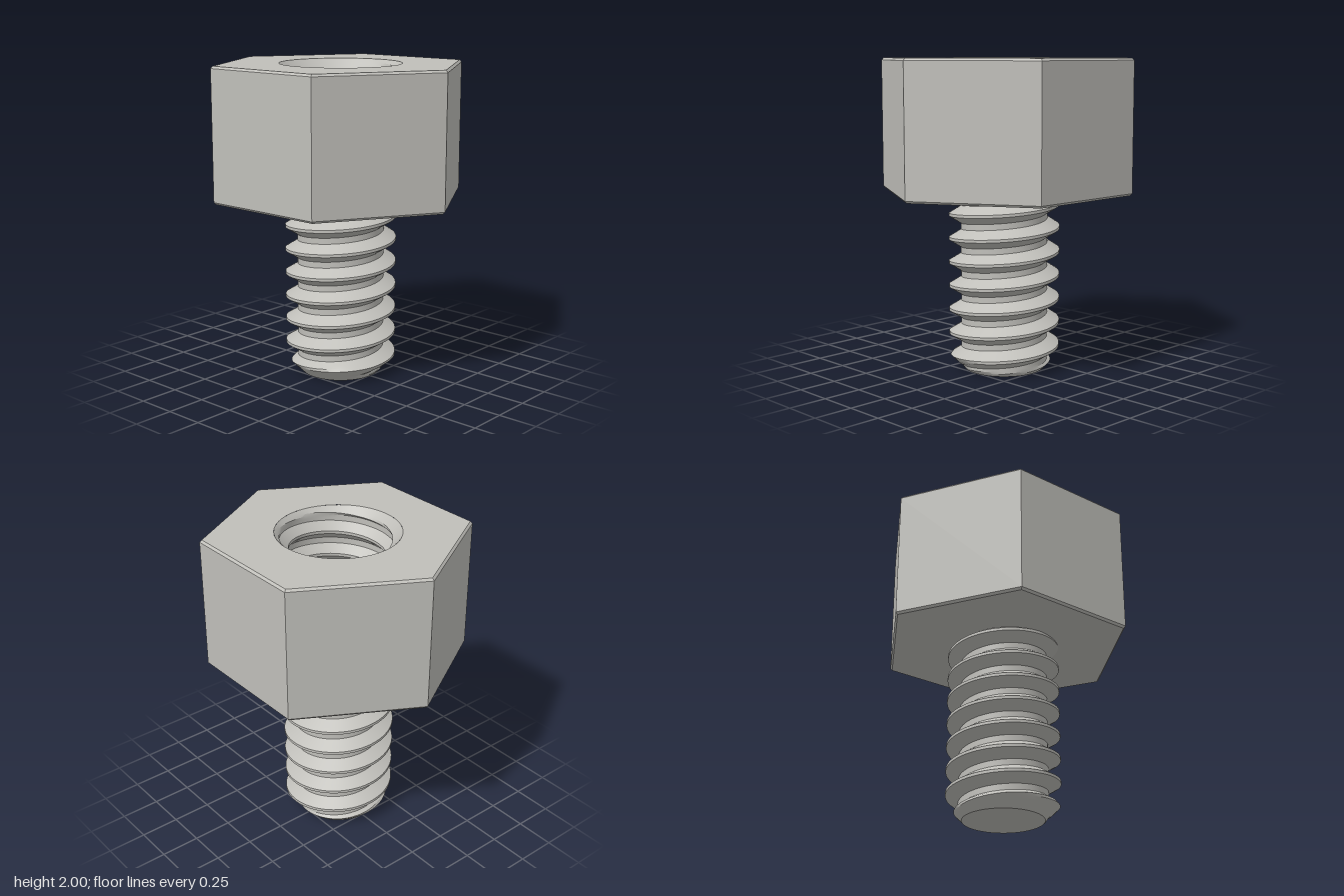
import * as THREE from 'three';
import { toCreasedNormals } from 'three/addons/utils/BufferGeometryUtils.js';

const PITCH = 0.154, SEGMENTS = 72;
const HEAD_BOTTOM = 1.15, HEAD_TOP = 2, BORE_FLOOR = 1.2;

// Helical thread wall between two heights; limit(r, y) trims it at the chamfered end.
function threadGeometry({ root, crest, phase, y0, y1, limit, inward }) {
  // One pitch of the trapezoid tooth: [height fraction, tooth height]
  const tooth = [[-0.5, 0], [-0.375, 0], [-0.27, 0.33], [-0.165, 0.67], [-0.06, 1],
    [0.06, 1], [0.165, 0.67], [0.27, 0.33], [0.375, 0]];
  const turns = Math.ceil((y1 - y0) / PITCH) + 3;
  const columns = [];
  for (let i = 0; i <= SEGMENTS; i++) {
    const a = (i / SEGMENTS) * Math.PI * 2;
    const column = [];
    for (let k = -2; k < turns; k++) {
      for (const [t, h] of tooth) {
        const y = THREE.MathUtils.clamp(y0 + phase + PITCH * (k + t + i / SEGMENTS), y0, y1);
        const r = limit(root + (crest - root) * h, y);
        column.push(new THREE.Vector3(r * Math.cos(a), y, -r * Math.sin(a)));
      }
    }
    columns.push(column);
  }
  const positions = [];
  const triangle = (a, b, c) => {
    const area = b.clone().sub(a).cross(c.clone().sub(a)).length();
    if (area < 1e-8) return;
    for (const p of inward ? [a, c, b] : [a, b, c]) positions.push(p.x, p.y, p.z);
  };
  for (let i = 0; i < SEGMENTS; i++) {
    const p = columns[i], q = columns[i + 1];
    for (let j = 0; j < p.length - 1; j++) {
      triangle(p[j], q[j], p[j + 1]);
      triangle(q[j], q[j + 1], p[j + 1]);
    }
  }
  const geometry = new THREE.BufferGeometry();
  geometry.setAttribute('position', new THREE.Float32BufferAttribute(positions, 3));
  return toCreasedNormals(geometry, 0.4);
}

export function createModel() {
  const group = new THREE.Group();
  const steel = new THREE.MeshStandardMaterial({ color: 0xc0bfba });
  steel.name = 'steel grey';
  const add = (name, geometry) => {
    const mesh = new THREE.Mesh(geometry, steel);
    mesh.name = name;
    group.add(mesh);
    return mesh;
  };

  // Hexagonal head: underside, small chamfers and six sides
  const R = 0.825, C = 0.014;
  const profile = [[0, HEAD_BOTTOM], [R - C, HEAD_BOTTOM], [R, HEAD_BOTTOM + C],
    [R, HEAD_TOP - C], [R - C, HEAD_TOP]].map(([x, y]) => new THREE.Vector2(x, y));
  add('hexHead', toCreasedNormals(new THREE.LatheGeometry(profile, 6, Math.PI / 2), 0.4));

  // Top face of the head with the round opening
  const face = new THREE.Shape();
  for (let i = 0; i < 6; i++) {
    const a = (i * Math.PI) / 3, r = R - C;
    if (i) face.lineTo(r * Math.cos(a), r * Math.sin(a));
    else face.moveTo(r, 0);
  }
  face.closePath();
  const opening = new THREE.Path();
  opening.absarc(0, 0, 0.385, 0, Math.PI * 2, true);
  face.holes.push(opening);
  add('headTop', new THREE.ShapeGeometry(face, SEGMENTS).rotateX(-Math.PI / 2).translate(0, HEAD_TOP, 0));

  // Threaded bore with a countersunk mouth
  add('boreThread', threadGeometry({
    root: 0.355, crest: 0.3, phase: 0.05, y0: BORE_FLOOR, y1: HEAD_TOP, inward: true,
    limit: (r, y) => Math.max(r, 0.385 - (HEAD_TOP - y)),
  }));
  add('boreFloor', new THREE.CircleGeometry(0.358, SEGMENTS).rotateX(-Math.PI / 2).translate(0, BORE_FLOOR, 0));

  // Threaded shank with a chamfered tip
  add('shankThread', threadGeometry({
    root: 0.278, crest: 0.356, phase: 0.1, y0: 0, y1: HEAD_BOTTOM + 0.01, inward: false,
    limit: (r, y) => Math.min(r, 0.255 + y),
  }));
  add('shankTip', new THREE.CircleGeometry(0.255, SEGMENTS).rotateX(Math.PI / 2));

  return group;
}
